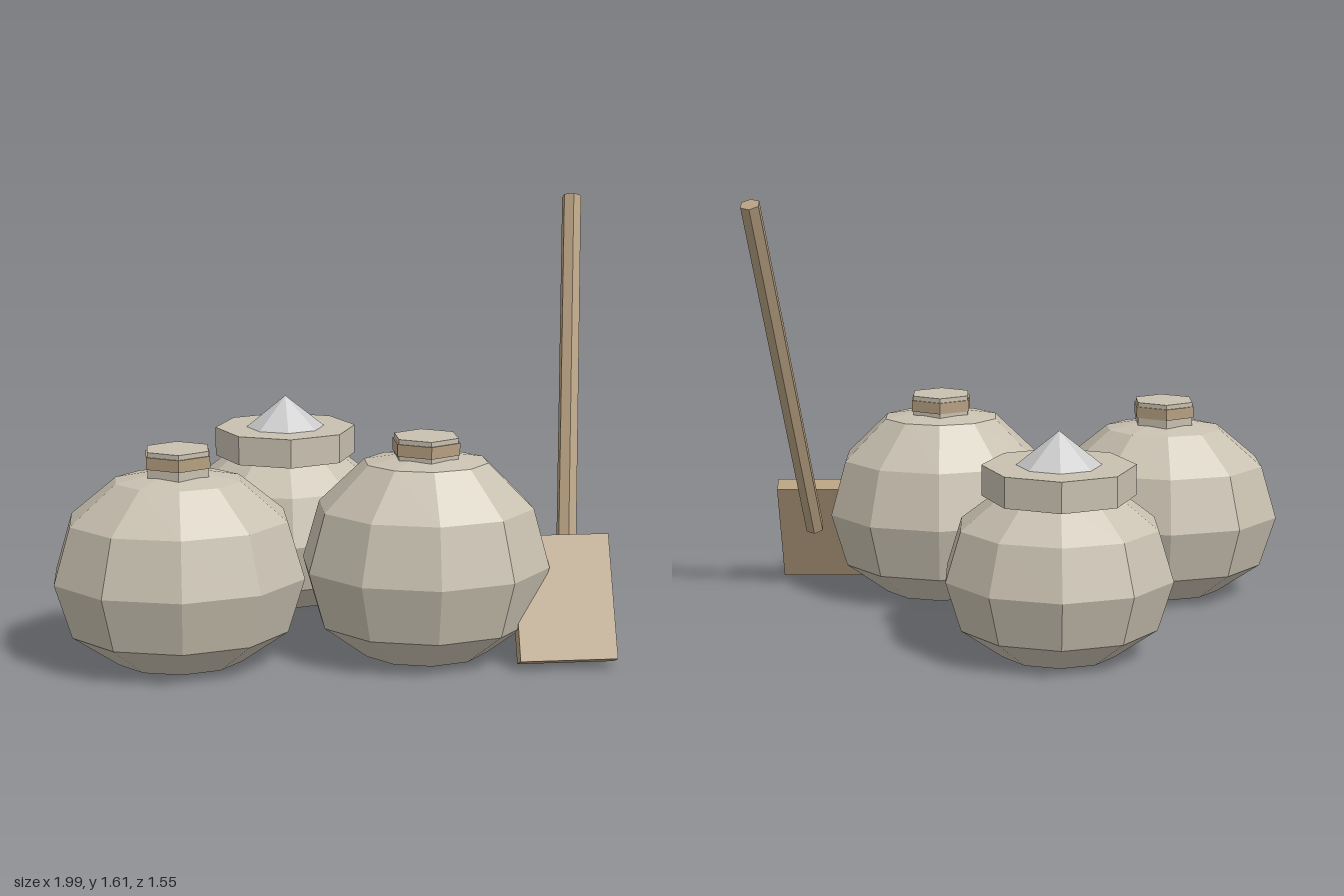
import * as THREE from 'three';

const mat = (color) => new THREE.MeshStandardMaterial({ color, flatShading: true, roughness: 0.9 });

export function createModel() {
  const model = new THREE.Group();
  const cloth = mat(0xc8c0b0), wood = mat(0xb59f80), grey = mat(0xcccccc);

  const add = (parent, name, geometry, material, x = 0, y = 0, z = 0) => {
    const mesh = new THREE.Mesh(geometry, material);
    mesh.name = name;
    mesh.position.set(x, y, z);
    parent.add(mesh);
    return mesh;
  };

  // Upright prism between two heights
  const prism = (parent, name, r, y0, y1, sides, material) =>
    add(parent, name, new THREE.CylinderGeometry(r, r, y1 - y0, sides), material, 0, (y0 + y1) / 2, 0);

  // Ten-sided bulging sack, closed at both ends and squashed in depth
  const sack = (name, x, z, rx, rz, heights) => {
    const group = new THREE.Group();
    group.name = name;
    group.position.set(x, 0, z);
    model.add(group);
    const radii = [0, 0.5, 0.866, 1, 0.866, 0.5, 0];
    const profile = radii.map((r, i) => new THREE.Vector2(r, heights[i]));
    const body = add(group, 'sackBody', new THREE.LatheGeometry(profile, 10), cloth);
    body.scale.set(rx, 1, rz);
    return group;
  };

  // Two closed sacks, each with a tied neck
  const tiedSack = (name, x, rx, heights, top) => {
    const group = sack(name, x, 0.387, rx, 0.384, heights);
    prism(group, 'neck', 0.122, top - 0.13, top, 6, cloth);
    prism(group, 'tie', 0.128, top - 0.06, top - 0.017, 6, wood);
  };
  tiedSack('rightSack', -0.565, 0.457, [0.013, 0.013, 0.13, 0.325, 0.527, 0.665, 0.71], 0.775);
  tiedSack('leftSack', 0.31, 0.449, [0.015, 0.015, 0.137, 0.342, 0.553, 0.712, 0.75], 0.803);

  // Open sack at the back, with a thick rolled rim and a heap of contents
  const open = sack('openSack', -0.128, -0.395, 0.421, 0.383, [0.003, 0.003, 0.113, 0.295, 0.475, 0.595, 0.64]);
  prism(open, 'rim', 0.274, 0.58, 0.691, 8, cloth);
  add(open, 'contents', new THREE.ConeGeometry(0.152, 0.122, 8), grey, 0, 0.752, 0);

  // Leaning shovel: flat blade with the handle against its back
  const shovel = new THREE.Group();
  shovel.name = 'shovel';
  model.add(shovel);
  const blade = add(shovel, 'blade', new THREE.BoxGeometry(0.347, 0.447, 0.067), wood, 0.787, 0.229, 0.51);
  blade.rotation.x = -0.435;

  const foot = new THREE.Vector3(0.817, 0.253, 0.417);
  const tip = new THREE.Vector3(0.955, 1.592, -0.232);
  const along = tip.clone().sub(foot);
  const handle = add(shovel, 'handle', new THREE.CylinderGeometry(0.037, 0.037, along.length(), 6), wood);
  handle.position.copy(foot).add(tip).multiplyScalar(0.5);
  handle.quaternion.setFromUnitVectors(new THREE.Vector3(0, 1, 0), along.normalize());

  return model;
}
